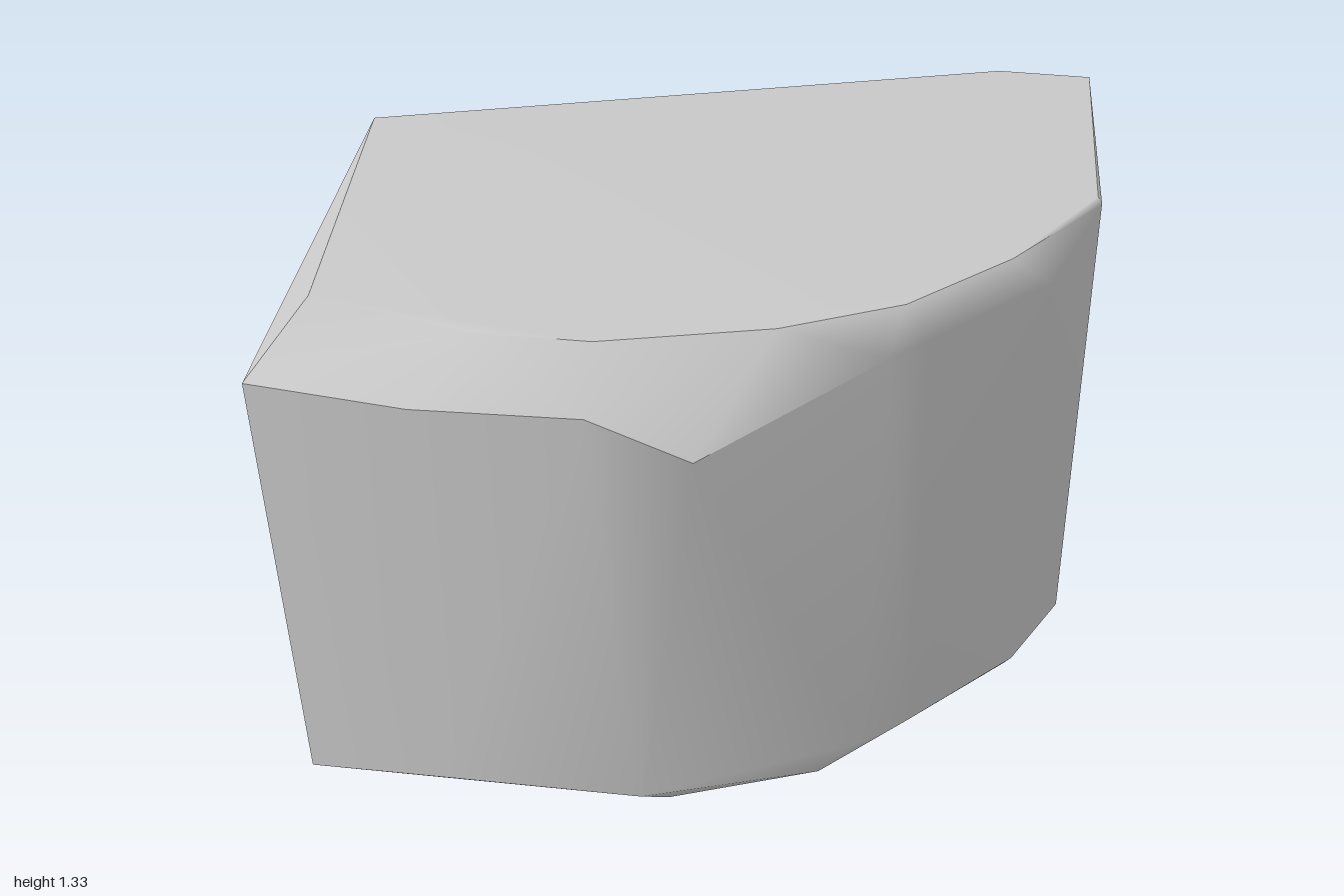
import * as THREE from 'three';
import { ConvexGeometry } from 'three/addons/geometries/ConvexGeometry.js';

// Outline of the flat top, as x, z
const top = [
  [-0.98, -0.33], [-0.88, 0.59], [-0.48, 0.7], [-0.2, 0.705], [0.2, 0.6],
  [0.48, 0.46], [0.72, 0.22], [0.93, -0.12], [0.68, -0.84],
];

// Lower edge of the chipped bevel around the top, as x, y, z
const shoulder = [
  [-1, 1.19, 0.76], [-0.6, 1.2, 0.83], [-0.2, 1.21, 0.835], [0.04, 1.11, 0.83],
  [0.45, 1.25, 0.57], [0.54, 1.26, 0.49], [0.82, 1.26, 0.2], [0.94, 1.32, -0.1],
  [0.93, 1.325, -0.84], [1, 0.81, -0.84],
];

// Upper edge of the bevel around the base
const foot = [
  [-0.6, 0.07, 0.83], [-0.1, 0.07, 0.835], [0.43, 0.075, 0.58], [0.55, 0.075, 0.48],
  [0.82, 0.075, 0.2], [0.8, 0.035, 0.18], [0.95, 0.03, -0.1], [0.95, 0.03, -0.33],
];

// Outline of the flat base, as x, z
const base = [[-0.98, -0.33], [-0.98, 0.76], [-0.04, 0.76], [0.33, 0.62]];

// Area-weighted smooth normals; the rounded front corner blends across wider angles
function softenNormals(geometry) {
  const position = geometry.attributes.position;
  const corners = [];
  for (let i = 0; i < position.count; i += 3) {
    const [a, b, c] = [0, 1, 2].map((k) => new THREE.Vector3().fromBufferAttribute(position, i + k));
    const area = b.clone().sub(a).cross(c.clone().sub(a));
    const unit = area.clone().normalize();
    for (const point of [a, b, c]) corners.push({ point, area, unit });
  }
  const isFlat = (n) => Math.abs(n.y) > 0.98;
  corners.forEach(({ point, unit }, i) => {
    const normal = new THREE.Vector3();
    for (const other of corners) {
      if (other.point.distanceTo(point) > 1e-4) continue;
      const rounded = point.x > 0.1 && point.z > -0.2 && !isFlat(unit) && !isFlat(other.unit);
      if (unit.angleTo(other.unit) < (rounded ? 1.05 : 0.65)) normal.add(other.area);
    }
    normal.normalize();
    geometry.attributes.normal.setXYZ(i, normal.x, normal.y, normal.z);
  });
  return geometry;
}

export function createModel() {
  const stone = new THREE.MeshStandardMaterial({ color: 0xc8c8c8 });
  stone.name = 'stone grey';

  const points = [
    ...top.map(([x, z]) => new THREE.Vector3(x, 1.33, z)),
    ...shoulder.map((p) => new THREE.Vector3(...p)),
    ...foot.map((p) => new THREE.Vector3(...p)),
    ...base.map(([x, z]) => new THREE.Vector3(x, 0, z)),
  ];

  // Broken stone block: soft across the rounded side, sharp at the main edges
  const rock = new THREE.Mesh(softenNormals(new ConvexGeometry(points)), stone);
  rock.name = 'rock';

  const group = new THREE.Group();
  group.name = 'rockBlock';
  group.add(rock);
  return group;
}
